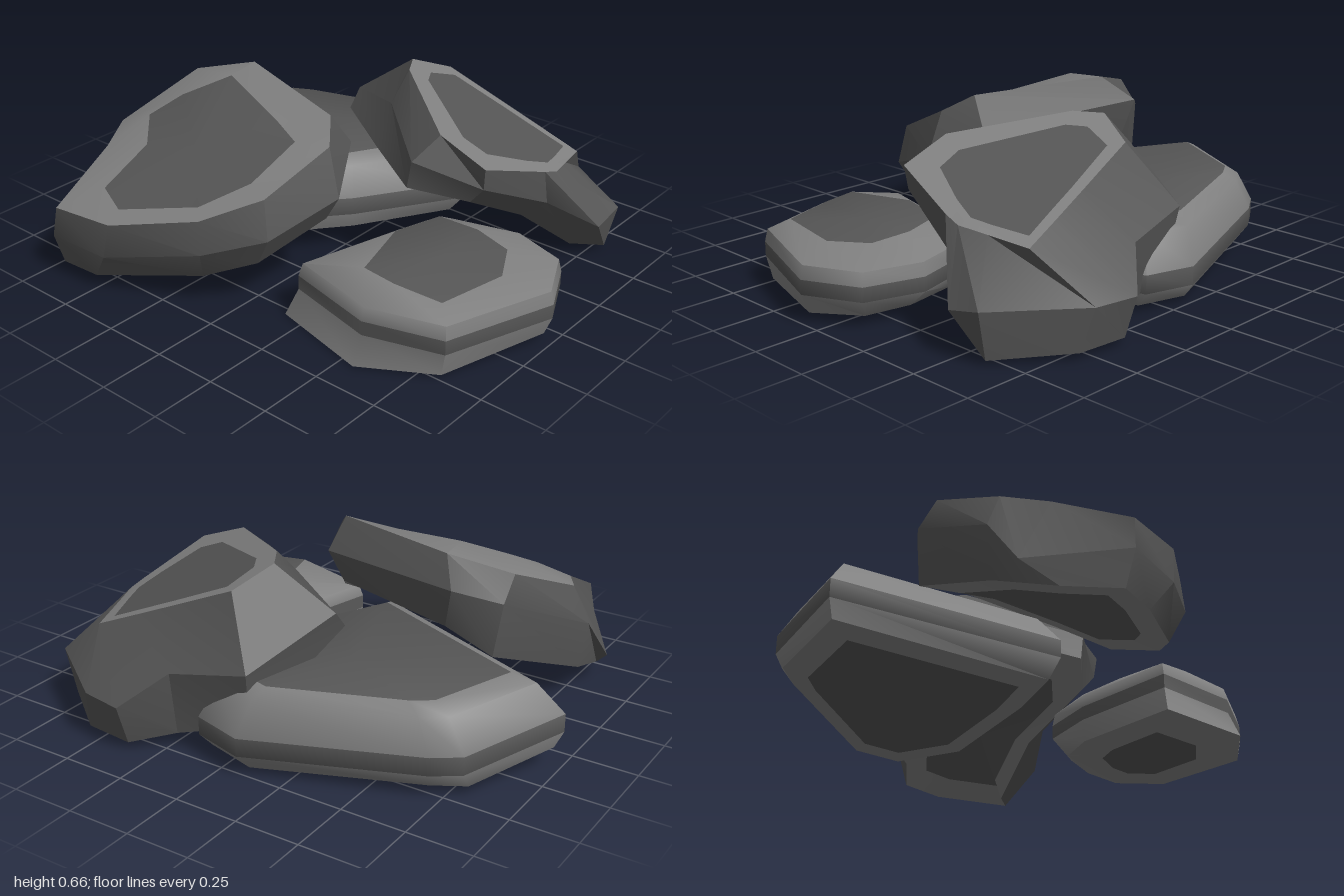
import * as THREE from 'three';
import { toCreasedNormals } from 'three/addons/utils/BufferGeometryUtils.js';

const darkStone = new THREE.MeshStandardMaterial({ color: 0x555555 });
darkStone.name = 'dark stone';
const paleStone = new THREE.MeshStandardMaterial({ color: 0x808080 });
paleStone.name = 'pale stone';
const DARK = 0, PALE = 1;

const centre = (ring) => ring[0].map((_, k) => ring.reduce((s, p) => s + p[k], 0) / ring.length);

// Lifts a flat [x, z] outline onto the plane y = a + b*x + c*z
const lift = (outline, a, b = 0, c = 0) => outline.map(([x, z]) => [x, a + b * x + c * z, z]);

// Shrinks a ring towards its middle
function inset(ring, s) {
  const c = centre(ring);
  return ring.map((p) => p.map((v, k) => c[k] + (v - c[k]) * s));
}

// Stone skinned over rings from bottom to top (clockwise from above);
// bands lists the colour between each pair of rings, both caps are dark
function stone(name, rings, bands, crease) {
  const pos = [];
  const geo = new THREE.BufferGeometry();
  const tri = (...pts) => pts.forEach((p) => pos.push(...p));
  const section = (colour, build) => {
    const start = pos.length / 3;
    build();
    geo.addGroup(start, pos.length / 3 - start, colour);
  };
  const n = rings[0].length;
  const bottom = rings[0], top = rings[rings.length - 1];
  const cb = centre(bottom), ct = centre(top);

  bands.forEach((colour, k) => section(colour, () => {
    const l = rings[k], u = rings[k + 1];
    for (let i = 0; i < n; i++) {
      const j = (i + 1) % n;
      tri(l[i], u[i], u[j]);
      tri(l[i], u[j], l[j]);
    }
  }));
  section(DARK, () => {
    for (let i = 0; i < n; i++) {
      const j = (i + 1) % n;
      tri(ct, top[j], top[i]);
      tri(cb, bottom[i], bottom[j]);
    }
  });

  geo.setAttribute('position', new THREE.Float32BufferAttribute(pos, 3));
  const mesh = new THREE.Mesh(toCreasedNormals(geo, crease), [darkStone, paleStone]);
  mesh.name = name;
  return mesh;
}

// Slab at the back left, its front edge slightly raised
function backSlab() {
  const foot = [[-0.97, -0.1], [-0.82, -0.45], [-0.7, -0.51], [-0.1, -0.72],
    [0.1, -0.67], [0.19, -0.43], [0.02, -0.02], [-0.11, 0.19]];
  const waist = [[-1, -0.09], [-0.82, -0.49], [-0.72, -0.55], [-0.08, -0.77],
    [0.12, -0.72], [0.24, -0.45], [0.04, 0], [-0.12, 0.25]];
  return stone('backSlab', [
    inset(lift(foot, 0.078, 0, 0.09), 0.8),
    lift(foot, 0.085, 0, 0.09),
    lift(waist, 0.15, 0, 0.09),
    lift(waist, 0.22, 0, 0.09),
    inset(lift(waist, 0.33, 0, 0.07), 0.86),
    inset(lift(waist, 0.362, 0, 0.06), 0.74),
  ], [PALE, PALE, DARK, PALE, PALE], 0.8);
}

// Flat slab at the front right
function frontSlab() {
  const foot = [[0.16, 0.53], [0.32, 0.08], [0.44, -0.07], [0.68, -0.12],
    [0.86, -0.09], [0.97, 0.08], [0.83, 0.49], [0.56, 0.63]];
  const waist = [[0.2, 0.5], [0.31, 0.08], [0.42, -0.13], [0.68, -0.2],
    [0.9, -0.13], [1, 0.08], [0.85, 0.5], [0.56, 0.585]];
  const face = [[0.47, 0.46], [0.4, 0.2], [0.45, 0], [0.6, -0.03],
    [0.75, 0], [0.83, 0.15], [0.78, 0.43], [0.6, 0.46]];
  return stone('frontSlab', [
    inset(lift(foot, 0.01, 0.02, -0.02), 0.55),
    lift(foot, 0.02, 0.02, -0.04),
    lift(waist, 0.11),
    lift(waist, 0.165),
    inset(lift(waist, 0.215), 0.97),
    lift(face, 0.33, -0.1),
  ], [PALE, PALE, DARK, PALE, PALE], 0.9);
}

// Large slab at the front left, leaning back on the others
function leaningSlab() {
  const foot = [[-0.69, 0.04, 0.84], [-0.8, 0.05, 0.67], [-0.82, 0.13, 0.43], [-0.66, 0.3, 0.01],
    [-0.5, 0.41, -0.06], [0.05, 0.4, 0.12], [0.16, 0.3, 0.3], [0.06, 0.19, 0.56],
    [-0.1, 0.13, 0.68], [-0.52, 0.04, 0.83]];
  const waist = [[-0.69, 0.17, 0.88], [-0.88, 0.14, 0.57], [-0.85, 0.32, 0.43], [-0.69, 0.51, 0.02],
    [-0.54, 0.57, -0.1], [0.11, 0.52, 0.1], [0.22, 0.4, 0.3], [0.13, 0.31, 0.58],
    [-0.06, 0.25, 0.73], [-0.42, 0.17, 0.87]];
  const rim = [[-0.67, 0.29, 0.87], [-0.7, 0.43, 0.58], [-0.78, 0.46, 0.43], [-0.69, 0.6, 0.1],
    [-0.46, 0.66, 0.01], [0.08, 0.645, 0.18], [0.16, 0.58, 0.28], [0.1, 0.46, 0.56],
    [-0.07, 0.38, 0.72], [-0.39, 0.31, 0.86]];
  const face = [[-0.54, 0.74], [-0.53, 0.53], [-0.63, 0.42], [-0.57, 0.3], [-0.44, 0.16],
    [-0.1, 0.27], [0.03, 0.32], [0, 0.52], [-0.12, 0.67], [-0.41, 0.79]];
  return stone('leaningSlab', [
    inset(foot, 0.72), foot, waist, rim, lift(face, 0.735, 0, -0.5),
  ], [PALE, DARK, DARK, PALE], 0.5);
}

// Tilted wedge at the back right, with a tail running down to the ground
function wedgeStone() {
  const foot = [[-0.22, 0.43, -0.29], [-0.06, 0.14, -0.66], [0.22, 0.06, -0.72], [0.36, 0.03, -0.83],
    [0.56, 0.03, -0.81], [0.8, 0.02, -0.62], [0.68, 0.01, -0.56], [0.58, 0.19, -0.35],
    [0.54, 0.35, -0.06], [0.34, 0.39, 0.06], [0.06, 0.41, -0.11]];
  const waist = [[-0.22, 0.5, -0.35], [-0.08, 0.36, -0.7], [0.22, 0.31, -0.75], [0.36, 0.19, -0.88],
    [0.53, 0.19, -0.85], [0.84, 0.2, -0.63], [0.84, 0.17, -0.49], [0.69, 0.28, -0.35],
    [0.61, 0.43, -0.04], [0.36, 0.5, 0.06], [0.06, 0.56, -0.2]];
  const rim = [[0, -0.41], [0.07, -0.57], [0.34, -0.61], [0.48, -0.63], [0.63, -0.65], [0.67, -0.5],
    [0.7, -0.39], [0.69, -0.32], [0.62, -0.03], [0.42, -0.03], [0.06, -0.31]];
  const face = [[0.09, -0.41], [0.12, -0.53], [0.34, -0.57], [0.47, -0.59], [0.59, -0.61], [0.63, -0.48],
    [0.65, -0.4], [0.62, -0.3], [0.55, -0.14], [0.45, -0.13], [0.13, -0.34]];
  const tilt = [0.76, -0.38, 0.24];
  return stone('wedgeStone', [
    inset(foot, 0.72), foot, waist, lift(rim, ...tilt), lift(face, ...tilt),
  ], [PALE, DARK, DARK, PALE], 0.5);
}

export function createModel() {
  const group = new THREE.Group();
  group.name = 'rockPile';
  group.add(backSlab(), frontSlab(), leaningSlab(), wedgeStone());
  return group;
}
